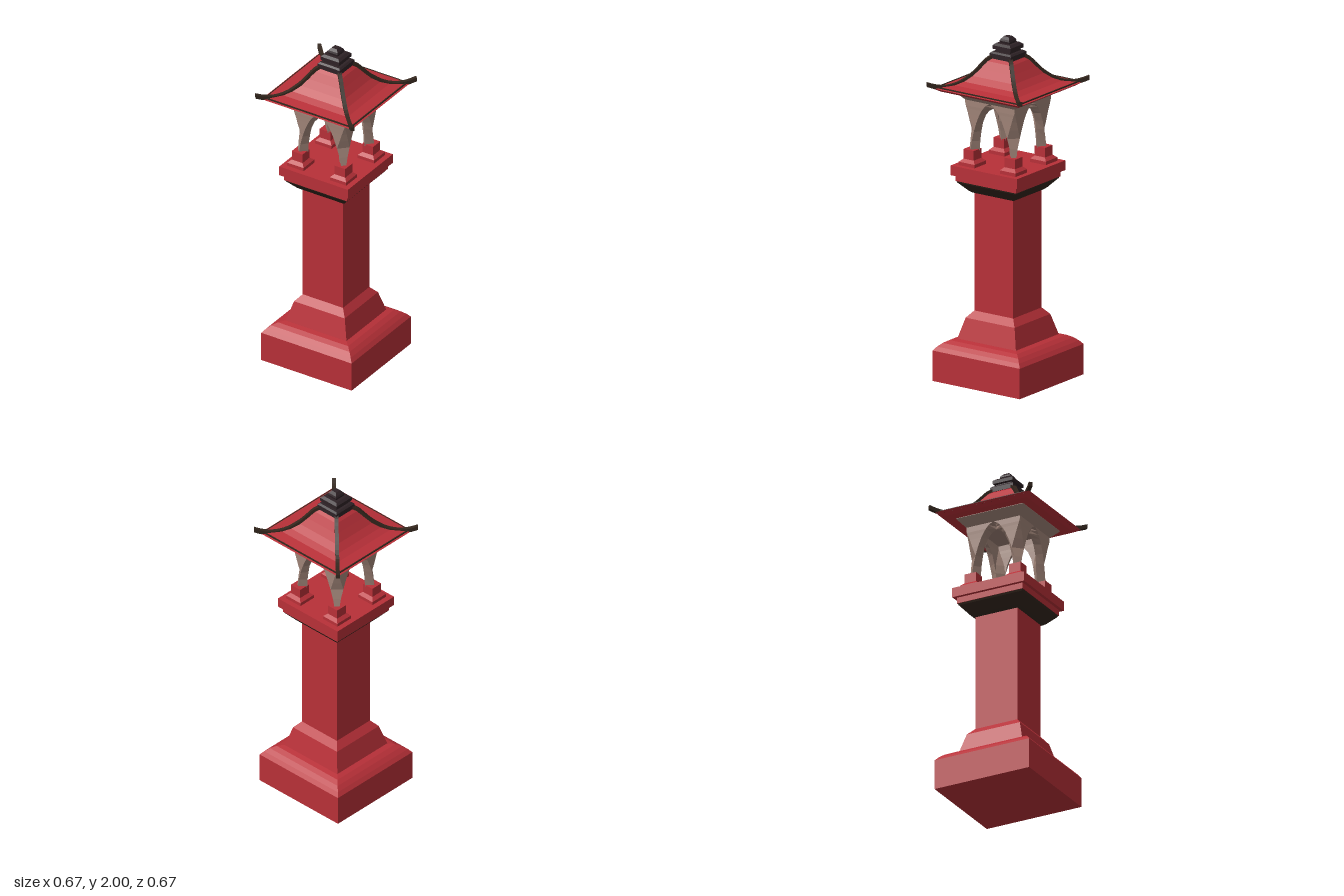
import * as THREE from 'three';

const mat = (color) => new THREE.MeshStandardMaterial({ color, flatShading: true, side: THREE.DoubleSide });

// Square tower section: profile of [half width, height], bottom to top
function square(name, material, profile) {
  const points = profile.map(([h, y]) => new THREE.Vector2(h * Math.SQRT2, y));
  const geometry = new THREE.LatheGeometry(points, 4, Math.PI / 4).toNonIndexed();
  geometry.computeVertexNormals();
  const mesh = new THREE.Mesh(geometry, material);
  mesh.name = name;
  return mesh;
}

// Corner leg that spreads into half an arch on each of its two sides
function archLegGeometry() {
  // height, outer face, chamfer edge, outer arch, inner arch
  const rows = [
    [1.34, 0.162, 0.143, 0.143, 0.105],
    [1.40, 0.164, 0.132, 0.132, 0.1],
    [1.457, 0.167, 0.116, 0.116, 0.09],
    [1.51, 0.169, 0.134, 0.098, 0.078],
    [1.56, 0.17, 0.15, 0.077, 0.056],
    [1.59, 0.171, 0.161, 0.059, 0.03],
    [1.607, 0.172, 0.167, 0.046, 0],
    [1.625, 0.172, 0.172, 0.03, 0],
    [1.642, 0.172, 0.172, 0, 0],
  ];
  const rings = rows.map(([y, e, c, a, b]) => {
    const d = e - 0.038;
    const i = Math.max(b, c - 0.038);
    return [[a, e], [c, e], [e, c], [e, a], [d, b], [d, i], [i, d], [b, d]]
      .map(([x, z]) => [x, y, z]);
  });
  const positions = [];
  for (let r = 0; r < rings.length - 1; r++) {
    for (let k = 0; k < 8; k++) {
      const n = (k + 1) % 8;
      const p = rings[r][k], q = rings[r][n], s = rings[r + 1][n], t = rings[r + 1][k];
      positions.push(...p, ...q, ...t, ...q, ...s, ...t);
    }
  }
  const geometry = new THREE.BufferGeometry();
  geometry.setAttribute('position', new THREE.Float32BufferAttribute(positions, 3));
  geometry.computeVertexNormals();
  return geometry;
}

// Curved hip ridge, drawn from the side and extruded to its width
function ridgeGeometry() {
  const path = new THREE.SplineCurve([
    [0.06, 1.885], [0.09, 1.862], [0.12, 1.818], [0.15, 1.778], [0.2, 1.733],
    [0.25, 1.716], [0.29, 1.721], [0.326, 1.737],
  ].map(([h, y]) => new THREE.Vector2(h * Math.SQRT2, y))).getPoints(20);
  const shape = new THREE.Shape([
    ...path.map((p) => new THREE.Vector2(p.x, p.y - 0.012)),
    ...path.map((p) => new THREE.Vector2(p.x, p.y + 0.012)).reverse(),
  ]);
  const geometry = new THREE.ExtrudeGeometry(shape, { depth: 0.022, bevelEnabled: false });
  return geometry.translate(0, 0, -0.011);
}

export function createModel() {
  const model = new THREE.Group();
  model.name = 'towerLantern';
  const red = mat(0xb83038);
  const dark = mat(0x33261d);
  const black = mat(0x2e2226);
  const beige = mat(0xa08478);

  // Plinth, sloped foot and shaft
  model.add(square('plinth', red, [
    [0, 0], [0.303, 0], [0.303, 0.178], [0.285, 0.2], [0.262, 0.22], [0.235, 0.235], [0.205, 0.242], [0, 0.242],
  ]));
  model.add(square('shaftFoot', red, [[0.204, 0.24], [0.17, 0.362], [0.135, 0.402]]));
  model.add(square('shaft', red, [[0.135, 0.39], [0.135, 1.1]]));

  // Flared collar and platform
  model.add(square('collar', dark, [[0, 1.093], [0.143, 1.093], [0.158, 1.105], [0.203, 1.155], [0.208, 1.165], [0, 1.165]]));
  model.add(square('platform', red, [
    [0, 1.165], [0.211, 1.165], [0.211, 1.2], [0.23, 1.2], [0.23, 1.257], [0, 1.257],
  ]));

  // Four pedestals with arched legs, and the roof ridges above them
  const legGeometry = archLegGeometry();
  const hipGeometry = ridgeGeometry();
  for (let i = 0; i < 4; i++) {
    const corner = new THREE.Group();
    corner.name = 'corner' + (i + 1);
    corner.rotation.y = i * Math.PI / 2;
    const pedestal = square('pedestal', red, [
      [0.055, 1.25], [0.055, 1.277], [0.036, 1.294], [0.036, 1.35], [0, 1.35],
    ]);
    pedestal.position.set(0.143, 0, 0.143);
    const leg = new THREE.Mesh(legGeometry, beige);
    leg.name = 'archedLeg';
    const ridge = new THREE.Mesh(hipGeometry, dark);
    ridge.name = 'roofRidge';
    ridge.rotation.y = Math.PI / 4;
    corner.add(pedestal, leg, ridge);
    model.add(corner);
  }

  // Flared ceiling, eaves and curved roof
  model.add(square('ceiling', beige, [[0, 1.64], [0.172, 1.64], [0.215, 1.688], [0.215, 1.695]]));
  model.add(square('eaves', red, [[0.2, 1.69], [0.27, 1.692], [0.302, 1.712], [0.285, 1.716]]));
  model.add(square('eaveTrim', dark, [[0.28, 1.705], [0.291, 1.705], [0.291, 1.721], [0.284, 1.721]]));
  model.add(square('roof', red, [
    [0.286, 1.717], [0.222, 1.728], [0.185, 1.747], [0.15, 1.778], [0.12, 1.818], [0.09, 1.861], [0.06, 1.885],
  ]));

  // Stepped finial
  model.add(square('finial', black, [
    [0, 1.876], [0.074, 1.876], [0.074, 1.905], [0.064, 1.914], [0.05, 1.914], [0.05, 1.926],
    [0.063, 1.93], [0.063, 1.95], [0.048, 1.962], [0.03, 1.962], [0.034, 1.975], [0.03, 1.985],
    [0.017, 2], [0, 2],
  ]));
  return model;
}
